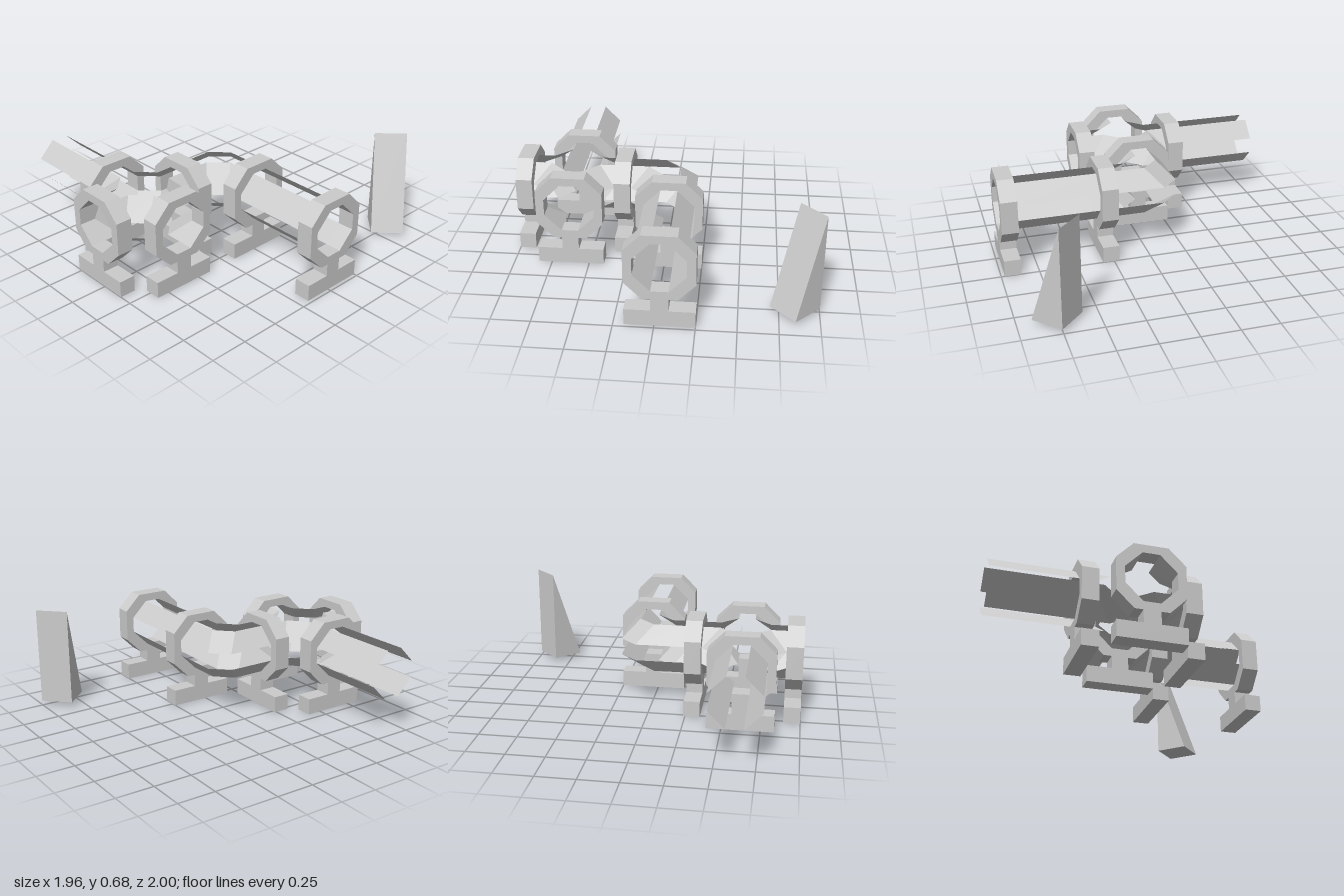
import * as THREE from 'three';

const U = 0.0544; // modelling unit: tube octagon has apothem 3, flat half-width 1
const CENTRE = [-0.057, 0.41, 0.619]; // middle of the four-way crossing
const FLOOR = -CENTRE[1] / U;

const material = new THREE.MeshStandardMaterial({ color: 0xcccccc, flatShading: true });
const thin = new THREE.MeshStandardMaterial({ color: 0xcccccc, flatShading: true, side: THREE.DoubleSide });
const v2 = (points) => points.map(([x, y]) => new THREE.Vector2(x, y));

// Octagonal ring, stem and foot as one extruded outline
function ringGeometry() {
  const half = [[4, FLOOR], [4, FLOOR + 2], [1, FLOOR + 2], [1, -4], [2, -4], [4, -2], [4, 2], [2, 4]];
  const outline = [...half, ...half.map(([x, y]) => [-x, y]).reverse()];
  const shape = new THREE.Shape(v2(outline));
  shape.holes.push(new THREE.Path(v2([[3, 1], [3, -1], [1, -3], [-1, -3], [-3, -1], [-3, 1], [-1, 3], [1, 3]])));
  return new THREE.ExtrudeGeometry(shape, { depth: 2, bevelEnabled: false }).translate(0, 0, -1);
}

// Sloped rail between a side edge (height 1) and a top edge (height 3), repeated upside down
function railPair(name, side, top) {
  const group = new THREE.Group();
  group.name = name;
  for (const up of [1, -1]) {
    const lo = side.map(([x, z]) => new THREE.Vector3(x, up, z));
    const hi = top.map(([x, z]) => new THREE.Vector3(x, 3 * up, z));
    const points = [];
    const triangle = (a, b, c) => {
      if (a.equals(b) || b.equals(c) || a.equals(c)) return;
      points.push(...(up > 0 ? [a, b, c] : [a, c, b]));
    };
    for (let i = 0; i < lo.length - 1; i++) {
      triangle(lo[i], lo[i + 1], hi[i + 1]);
      triangle(lo[i], hi[i + 1], hi[i]);
    }
    const geometry = new THREE.BufferGeometry().setFromPoints(points);
    geometry.computeVertexNormals();
    const mesh = new THREE.Mesh(geometry, thin);
    mesh.name = up > 0 ? 'upperRail' : 'lowerRail';
    group.add(mesh);
  }
  return group;
}

// Rails turning the inside of a corner, in the quadrant given by the signs
function innerCorner(name, sx, sz, z0 = 0) {
  const place = (points) => {
    const placed = points.map(([x, z]) => [x * sx, z * sz + z0]);
    return sx * sz > 0 ? placed.reverse() : placed;
  };
  return railPair(name,
    place([[5, 3], [5, 3], [3, 5], [3, 5]]),
    place([[5, 1], [3, 1], [1, 3], [1, 5]]));
}

// Straight run of rails along x
function straightRun(name, x0, x1, z0) {
  const group = new THREE.Group();
  group.name = name;
  for (const s of [1, -1]) {
    const ends = s > 0 ? [x0, x1] : [x1, x0];
    group.add(railPair(s > 0 ? 'frontRails' : 'backRails',
      ends.map((x) => [x, z0 + 3 * s]), ends.map((x) => [x, z0 + s])));
  }
  return group;
}

export function createModel() {
  const model = new THREE.Group();
  model.name = 'railTunnel';
  const track = new THREE.Group();
  track.name = 'track';
  track.position.set(...CENTRE);
  track.scale.setScalar(U);
  model.add(track);

  // Support rings: x, z, and whether the opening runs along x
  const ring = ringGeometry();
  const rings = [[0, 6, false], [0, -6, false], [6, 0, true], [-6, 0, true], [6, -12, true], [18, -12, true]];
  for (const [x, z, alongX] of rings) {
    const mesh = new THREE.Mesh(ring, material);
    mesh.name = 'supportRing';
    mesh.position.set(x, 0, z);
    if (alongX) mesh.rotation.y = Math.PI / 2;
    track.add(mesh);
  }

  // Four-way crossing
  for (const sx of [1, -1]) for (const sz of [1, -1]) track.add(innerCorner('crossingCorner', sx, sz));

  // Bend at the back
  const back = (points) => points.map(([x, z]) => [x, z - 12]);
  track.add(innerCorner('bendInnerRails', 1, 1, -12));
  track.add(railPair('bendOuterRails',
    back([[5, -3], [-1, -3], [-3, -1], [-3, 5]]),
    back([[5, -1], [1, -1], [-1, 1], [-1, 5]])));

  // Straight runs
  track.add(straightRun('leftOpenRun', -17, -7, 0));
  track.add(straightRun('backRun', 7, 17, -12));

  // Separate tall wedge, turned 45 degrees
  const w = 0.108;
  const wedgeShape = new THREE.Shape(v2([[-w, 0], [w, 0], [-w, 0.65]]));
  const wedge = new THREE.Mesh(
    new THREE.ExtrudeGeometry(wedgeShape, { depth: 2 * w, bevelEnabled: false }).translate(0, 0, -w), material);
  wedge.name = 'wedge';
  wedge.position.set(0.757, 0.03, -0.848);
  wedge.rotation.y = -Math.PI / 4;
  model.add(wedge);
  return model;
}
